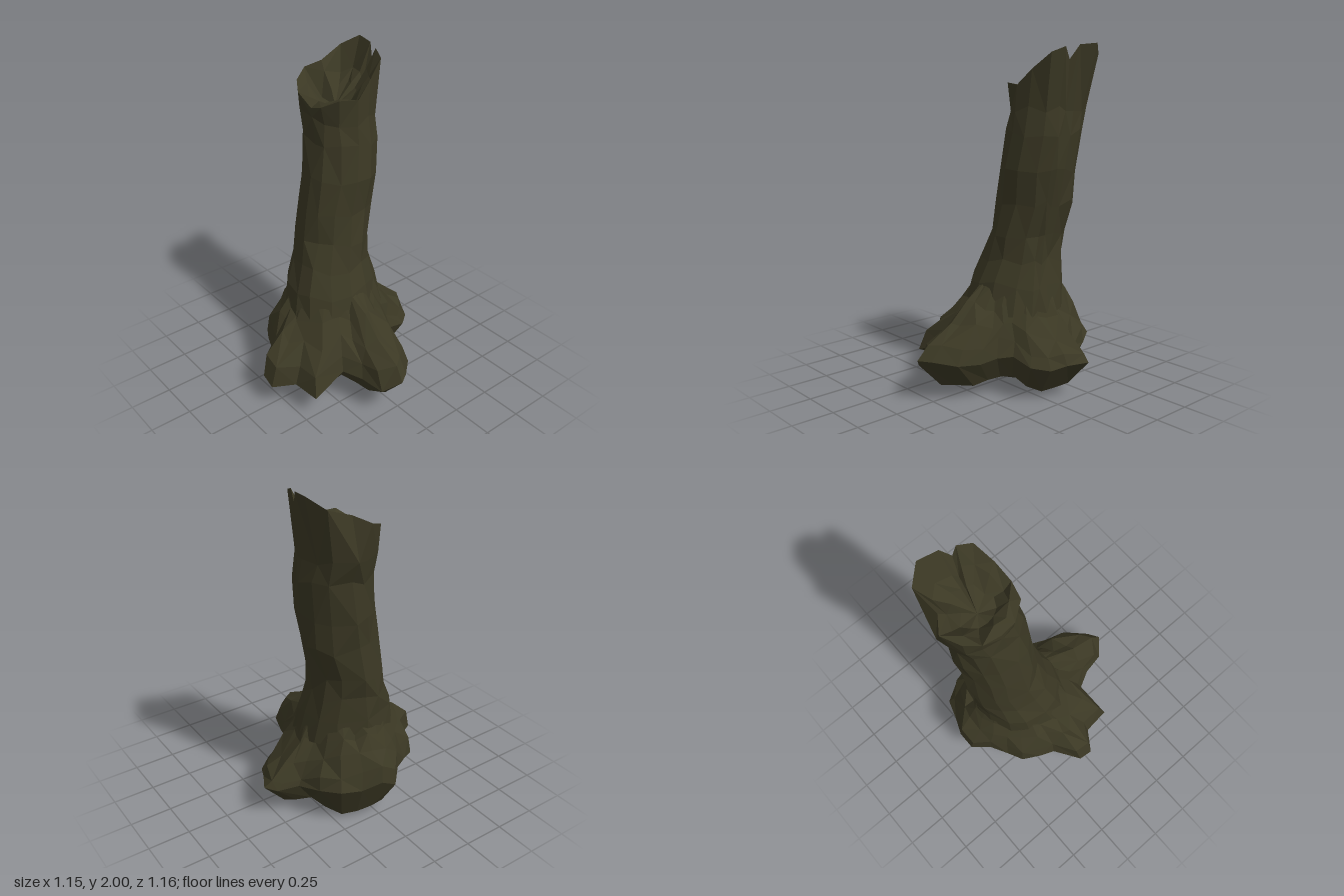
import * as THREE from 'three';

const bark = new THREE.MeshStandardMaterial({ color: 0x3b3824, flatShading: true });
bark.name = 'darkBark';

// Small seeded noise in -1..1
let seed = 7;
const noise = () => {
  seed = (seed * 16807) % 2147483647;
  return (seed / 2147483647) * 2 - 1;
};
const lerp = THREE.MathUtils.lerp;

// Skin closed rings, listed from the underside outwards and up, with alternating diagonals
function loft(name, rings) {
  const n = rings[0].length;
  const pos = [];
  const tri = (a, b, c) => {
    const area = b.clone().sub(a).cross(c.clone().sub(a)).length();
    if (area > 1e-7) [a, b, c].forEach((p) => pos.push(p.x, p.y, p.z));
  };
  for (let r = 0; r < rings.length - 1; r++) {
    for (let i = 0; i < n; i++) {
      const j = (i + 1) % n;
      const a = rings[r][i], b = rings[r][j], c = rings[r + 1][j], d = rings[r + 1][i];
      if ((i + r) % 2) { tri(a, d, b); tri(b, d, c); }
      else { tri(a, d, c); tri(a, c, b); }
    }
  }
  const geo = new THREE.BufferGeometry();
  geo.setAttribute('position', new THREE.Float32BufferAttribute(pos, 3));
  geo.computeVertexNormals();
  const mesh = new THREE.Mesh(geo, bark);
  mesh.name = name;
  return mesh;
}

// Point on an oval section given by its x and z limits
function oval([y, x0, x1, z0, z1], angle, rough) {
  return new THREE.Vector3(
    (x0 + x1) / 2 + Math.cos(angle) * ((x1 - x0) / 2 + noise() * rough),
    y + noise() * rough * 2,
    (z0 + z1) / 2 + Math.sin(angle) * ((z1 - z0) / 2 + noise() * rough),
  );
}

// Trunk sections: y, x min, x max, z min, z max
const sections = [
  [0.45, -0.41, 0.17, -0.30, 0.31],
  [0.62, -0.41, 0.12, -0.28, 0.275],
  [0.76, -0.415, 0.065, -0.255, 0.215],
  [0.90, -0.425, 0.035, -0.255, 0.165],
  [1.10, -0.42, 0.015, -0.31, 0.145],
  [1.29, -0.435, 0.025, -0.335, 0.105],
  [1.50, -0.445, -0.01, -0.355, 0.065],
  [1.64, -0.48, -0.03, -0.35, 0.06],
];

// Splintered rim: x, y, z
const rim = [
  [-0.03, 1.77, -0.12], [-0.06, 1.78, -0.01], [-0.15, 1.73, 0.05], [-0.24, 1.70, 0.05],
  [-0.36, 1.76, 0.05], [-0.44, 1.80, 0.00], [-0.50, 1.84, -0.10], [-0.44, 1.88, -0.18],
  [-0.46, 1.94, -0.34], [-0.37, 2.00, -0.41], [-0.25, 1.99, -0.39], [-0.20, 1.91, -0.36],
  [-0.17, 1.98, -0.36], [-0.09, 1.95, -0.33], [-0.05, 1.86, -0.22],
].map((p) => new THREE.Vector3(...p));

function makeTrunk() {
  const angles = rim.map((p) => Math.atan2(p.z + 0.16, p.x + 0.26));
  const rings = sections.map((s) => angles.map((a) => oval(s, a, 0.012)));
  rings.push(rim);
  // Shallow splintered hollow inside the broken top
  const hollow = (scale, y, follow) => rim.map((p) => new THREE.Vector3(
    lerp(-0.25, p.x, scale + noise() * 0.06),
    lerp(y, p.y, follow) + noise() * 0.035,
    lerp(-0.14, p.z, scale + noise() * 0.06),
  ));
  rings.push(hollow(0.74, 1.71, 0.5), hollow(0.45, 1.68, 0.2));
  const floor = new THREE.Vector3(-0.25, 1.67, -0.13);
  rings.push(rim.map(() => floor));
  return loft('trunk', rings);
}

// Root outline: x, z, height of the outer edge, height of the underside, sag of the upper slope
const foot = [
  [0.575, 0.04, 0.25, 0.07], [0.50, 0.13, 0.18, 0.07], [0.36, 0.16, 0.20, 0.08],
  [0.25, 0.22, 0.22, 0.12], [0.27, 0.44, 0.14, 0.12], [0.10, 0.46, 0.15, 0.10],
  [0.02, 0.58, 0.14, 0.11], [-0.07, 0.575, 0.17, 0.12], [-0.18, 0.43, 0.22, 0.12],
  [-0.27, 0.40, 0.25, 0.10], [-0.37, 0.34, 0.23, 0.09], [-0.42, 0.25, 0.25, 0.10],
  [-0.48, 0.15, 0.27, 0.07], [-0.57, 0.06, 0.23, 0.06], [-0.575, -0.04, 0.29, 0.05],
  [-0.53, -0.15, 0.25, 0.03], [-0.49, -0.27, 0.26, 0.02], [-0.38, -0.34, 0.24, 0.04, 0.2],
  [-0.25, -0.40, 0.22, 0.07, 0.5], [-0.21, -0.52, 0.21, 0.07, 0.6], [-0.16, -0.58, 0.23, 0.07, 0.65],
  [-0.05, -0.52, 0.22, 0.05, 0.6], [0.04, -0.48, 0.20, 0.04, 0.5], [0.11, -0.39, 0.21, 0.06, 0.3],
  [0.13, -0.27, 0.25, 0.11], [0.20, -0.21, 0.24, 0.10], [0.30, -0.18, 0.22, 0.09],
  [0.43, -0.14, 0.23, 0.07], [0.53, -0.03, 0.25, 0.07],
];

function makeRoots() {
  // The collar is tucked just inside the trunk
  const collar = [0.63, -0.38, 0.085, -0.245, 0.235];
  const angles = foot.map(([x, z]) => Math.atan2(z, x + 0.15));
  const top = angles.map((a) => oval(collar, a, 0.004));
  // Underside rings shrink towards the middle
  const under = (scale, follow) => foot.map(([x, z, , low]) => new THREE.Vector3(
    lerp(-0.1, x, scale + noise() * 0.03),
    lerp(0.06, low, follow) + noise() * (1 - follow) * 0.035,
    lerp(0, z, scale + noise() * 0.03),
  ));
  // Upper rings sweep from the root tips up to the collar
  const upper = (spread, rise) => foot.map(([x, z, tip, , sag = 0], i) => new THREE.Vector3(
    lerp(top[i].x, x, spread) + noise() * 0.014,
    lerp(tip, 0.63, rise * (1 - sag * spread)) + noise() * 0.025,
    lerp(top[i].z, z, spread) + noise() * 0.014,
  ));
  const middle = new THREE.Vector3(-0.04, 0, 0.04);
  return loft('roots', [
    foot.map(() => middle),
    under(0.42, 0.3),
    under(0.76, 1),
    foot.map(([x, z, tip]) => new THREE.Vector3(x, tip, z)),
    upper(0.86, 0.24),
    upper(0.55, 0.49),
    upper(0.26, 0.7),
    top,
  ]);
}

export function createModel() {
  seed = 7;
  const group = new THREE.Group();
  group.name = 'brokenTreeStump';
  group.add(makeTrunk(), makeRoots());
  return group;
}
